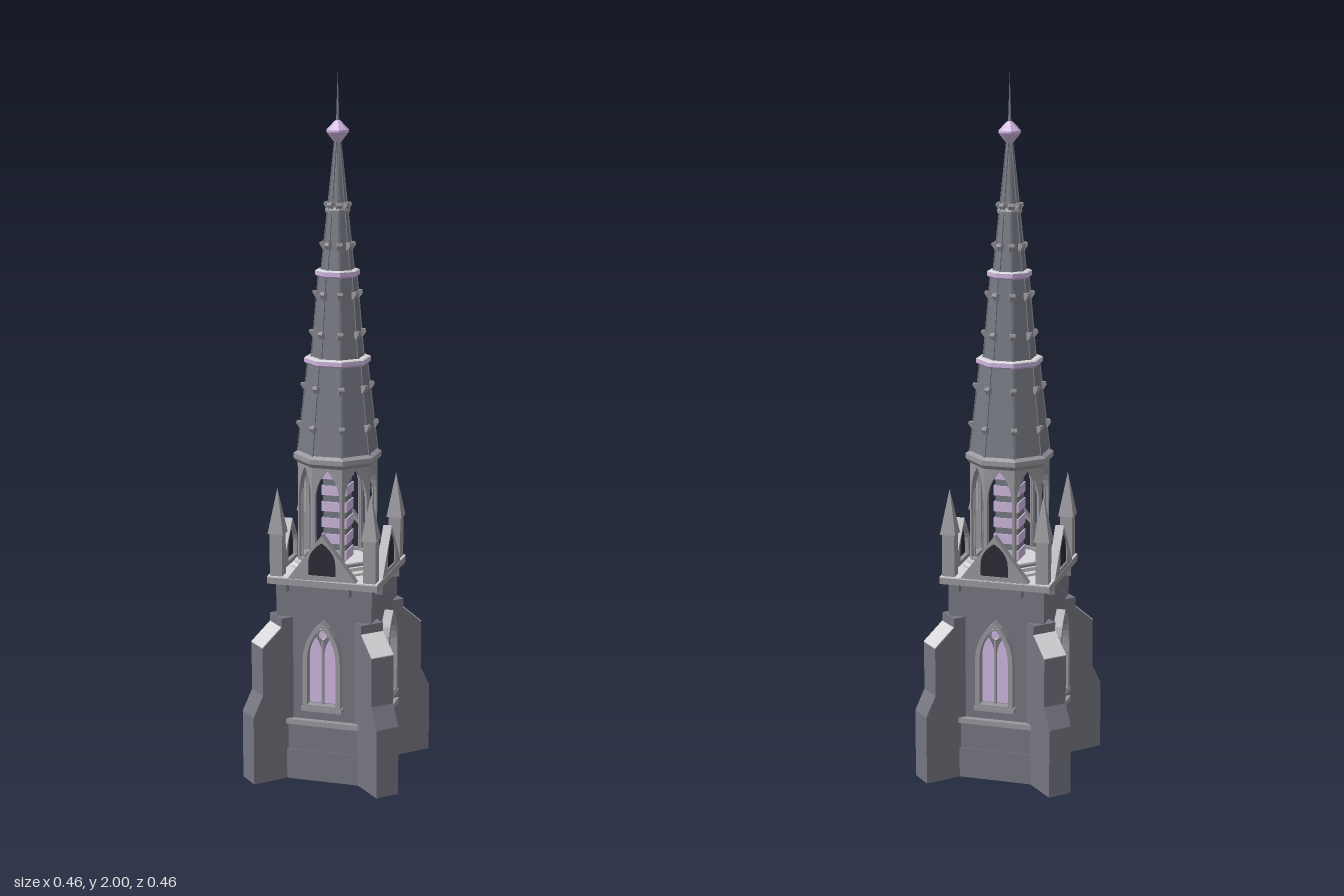
import * as THREE from 'three';

const mat = (name, color) => {
  const m = new THREE.MeshStandardMaterial({ color });
  m.name = name;
  return m;
};

export function createModel() {
  const stone = mat('wall stone', 0x767681);
  const slate = mat('spire stone', 0x777983);
  const trim = mat('grey trim', 0x98989e);
  const pale = mat('pale weathering', 0xd6d6d9);
  const lilac = mat('lilac glass', 0xcfb7e1);
  const dark = mat('dark opening', 0x2c2b36);
  const root = new THREE.Group();

  // Faceted mesh: every face keeps its own normal
  function add(parent, name, geo, material, x = 0, y = 0, z = 0) {
    const g = geo.index ? geo.toNonIndexed() : geo;
    g.computeVertexNormals();
    const m = new THREE.Mesh(g, material);
    m.name = name;
    m.position.set(x, y, z);
    parent.add(m);
    return m;
  }
  const box = (w, h, d) => new THREE.BoxGeometry(w, h, d);
  const extrude = (shape, depth) =>
    new THREE.ExtrudeGeometry(shape, { depth, bevelEnabled: false, curveSegments: 5 });
  // Octagonal solid from [apothem, y] pairs, flats facing the axes
  const octagon = (pts) => new THREE.LatheGeometry(
    pts.map(([a, y]) => new THREE.Vector2(a / Math.cos(Math.PI / 8), y)), 8, Math.PI / 8);
  const polygon = (pts) => new THREE.Shape(pts.map(([x, y]) => new THREE.Vector2(x, y)));
  // Slab from an [radius, y] outline, centred on its own plane
  function slab(pts, width) {
    const g = extrude(polygon(pts), width);
    g.translate(0, 0, -width / 2);
    return g;
  }
  // Pointed arch outline
  function arch(w, y0, spring, apex, cx = 0, Type = THREE.Shape) {
    const s = new Type();
    const c = spring + (apex - spring) * 0.6;
    s.moveTo(cx - w, y0);
    s.lineTo(cx + w, y0);
    s.lineTo(cx + w, spring);
    s.quadraticCurveTo(cx + w, c, cx, apex);
    s.quadraticCurveTo(cx - w, c, cx - w, spring);
    s.closePath();
    return s;
  }

  // Square tower
  add(root, 'towerBody', box(0.28, 0.58, 0.28), stone, 0, 0.29, 0);
  add(root, 'plinth', box(0.31, 0.09, 0.31), stone, 0, 0.045, 0);
  add(root, 'plinthUpper', box(0.304, 0.075, 0.304), stone, 0, 0.1275, 0);
  add(root, 'stringCourse', box(0.314, 0.015, 0.314), trim, 0, 0.1725, 0);
  add(root, 'cornice', box(0.32, 0.018, 0.32), trim, 0, 0.587, 0);
  add(root, 'corniceTop', box(0.32, 0.004, 0.32), pale, 0, 0.598, 0);

  const buttressProfile = [[0.1, 0], [0.29, 0], [0.29, 0.2], [0.26, 0.26],
    [0.26, 0.4], [0.2, 0.452], [0.2, 0.48], [0.1, 0.48]];
  const weatheringProfile = [[0.26, 0.4], [0.261, 0.403], [0.201, 0.455], [0.2, 0.452]];

  for (let k = 0; k < 4; k++) {
    // One side of the tower, built facing +z
    const side = new THREE.Group();
    side.name = 'towerSide';
    side.rotation.y = k * Math.PI / 2;
    root.add(side);

    // Window: frame, twin lancets, mullion, roundel and sill
    const frame = arch(0.055, 0.22, 0.36, 0.48);
    frame.holes.push(arch(0.042, 0.232, 0.36, 0.462, 0, THREE.Path));
    add(side, 'windowFrame', extrude(frame, 0.026), trim, 0, 0, 0.14);
    add(side, 'windowTracery', extrude(arch(0.042, 0.232, 0.36, 0.462), 0.002), stone, 0, 0, 0.14);
    for (const s of [-1, 1]) {
      add(side, 'windowGlass', extrude(arch(0.0185, 0.234, 0.37, 0.427, s * 0.0215), 0.003),
        lilac, 0, 0, 0.141);
    }
    add(side, 'windowMullion', box(0.006, 0.19, 0.012), trim, 0, 0.325, 0.147);
    const roundel = new THREE.CylinderGeometry(0.014, 0.014, 0.004, 12);
    roundel.rotateX(Math.PI / 2);
    add(side, 'windowRoundel', roundel, lilac, 0, 0.438, 0.145);
    add(side, 'windowRoundelRing', new THREE.TorusGeometry(0.015, 0.003, 4, 12), trim, 0, 0.438, 0.147);
    add(side, 'windowSill', box(0.118, 0.012, 0.03), trim, 0, 0.219, 0.153);

    // Gable above the cornice with a dark pointed opening
    const gable = polygon([[-0.1, 0.598], [0.1, 0.598], [0, 0.73]]);
    gable.holes.push(arch(0.04, 0.612, 0.645, 0.708, 0, THREE.Path));
    add(side, 'gable', extrude(gable, 0.025), trim, 0, 0, 0.135);
    add(side, 'gableOpening', extrude(arch(0.04, 0.612, 0.645, 0.708), 0.009), dark, 0, 0, 0.147);

    // Small brackets under the cornice
    for (const x of [-0.105, 0.078]) {
      add(side, 'bracket', box(0.005, 0.022, 0.022), stone, x, 0.568, 0.151);
    }

    // Diagonal stepped buttress with a pale sloping top
    const turn = Math.PI / 4 + k * Math.PI / 2;
    add(root, 'buttress', slab(buttressProfile, 0.07), stone).rotation.y = turn;
    add(root, 'buttressSlope', slab(weatheringProfile, 0.07), pale).rotation.y = turn;

    // Corner pinnacle
    const pinnacle = new THREE.Group();
    pinnacle.name = 'pinnacle';
    pinnacle.position.set(0.136, 0.6, 0.136);
    side.add(pinnacle);
    add(pinnacle, 'pinnacleShaft', box(0.036, 0.13, 0.036), trim, 0, 0.065, 0);
    const tip = new THREE.ConeGeometry(0.032, 0.13, 4);
    tip.rotateY(Math.PI / 4);
    add(pinnacle, 'pinnacleSpire', tip, trim, 0, 0.187, 0);
  }

  // Octagonal open belfry
  add(root, 'belfryBase', octagon([[0, 0.59], [0.123, 0.59], [0.123, 0.607], [0.114, 0.612],
    [0.114, 0.622], [0, 0.622]]), pale);
  const panel = polygon([[-0.0435, 0.615], [0.0435, 0.615], [0.0435, 0.915], [-0.0435, 0.915]]);
  panel.holes.push(arch(0.036, 0.63, 0.81, 0.902, 0, THREE.Path));
  for (let k = 0; k < 8; k++) {
    const arcade = new THREE.Group();
    arcade.name = 'belfryArch';
    arcade.rotation.y = k * Math.PI / 4;
    root.add(arcade);
    add(arcade, 'archPanel', extrude(panel, 0.014), trim, 0, 0, 0.091);
  }

  // Banded core inside the belfry
  add(root, 'belfryCore', box(0.066, 0.31, 0.066), slate, 0, 0.765, 0);
  for (let i = 0; i < 6; i++) {
    add(root, 'coreBand', box(0.074, 0.028, 0.074), lilac, 0, 0.64 + i * 0.047, 0);
  }

  // Spire in three tapering tiers
  add(root, 'spireEave', octagon([[0, 0.908], [0.106, 0.908], [0.116, 0.92], [0.116, 0.934],
    [0.105, 0.942], [0, 0.942]]), trim);
  const tiers = [[0.94, 0.105, 1.2, 0.077], [1.2, 0.069, 1.445, 0.049], [1.445, 0.043, 1.82, 0.006]];
  for (const [y0, a0, y1, a1] of tiers) {
    add(root, 'spireTier', octagon([[0, y0], [a0, y0], [a1, y1], [0, y1]]), slate);
  }
  // Lilac bands, each capped by a pale ledge
  for (const [y, a] of [[1.2, 0.087], [1.445, 0.058]]) {
    add(root, 'spireBand', octagon([[0, y - 0.01], [a - 0.005, y - 0.01], [a, y - 0.005],
      [a, y + 0.007], [0, y + 0.007]]), lilac);
    add(root, 'spireBandLedge', octagon([[0, y + 0.006], [a, y + 0.007], [a - 0.004, y + 0.01],
      [0, y + 0.01]]), pale);
  }
  add(root, 'spireCollar', octagon([[0, 1.612], [0.031, 1.612], [0.033, 1.62], [0.03, 1.628],
    [0, 1.628]]), trim);

  // Ribs and crockets along the eight spire edges
  for (let k = 0; k < 8; k++) {
    const edge = new THREE.Group();
    edge.name = 'spireEdge';
    edge.rotation.y = Math.PI / 8 + k * Math.PI / 4;
    root.add(edge);
    for (const [y0, a0, y1, a1] of tiers) {
      const r0 = a0 / Math.cos(Math.PI / 8), r1 = a1 / Math.cos(Math.PI / 8);
      add(edge, 'rib', slab([[r0 - 0.01, y0], [r0 + 0.002, y0], [r1 + 0.002, y1],
        [Math.max(r1 - 0.01, 0), y1]], 0.006), slate);
      for (let y = y0 + 0.075; y < Math.min(y1, 1.66) - 0.02; y += 0.11) {
        const r = r0 + (r1 - r0) * (y - y0) / (y1 - y0);
        add(edge, 'crocket', slab([[r - 0.008, y - 0.012], [r + 0.004, y - 0.008],
          [r + 0.012, y + 0.004], [r + 0.01, y + 0.011], [r - 0.01, y + 0.011]], 0.015), trim);
      }
    }
  }

  // Finial
  add(root, 'finialKnob', octagon([[0, 1.798], [0.008, 1.803], [0.029, 1.832], [0.029, 1.838],
    [0.008, 1.862], [0, 1.866]]), lilac);
  add(root, 'finialSpike', new THREE.ConeGeometry(0.005, 0.15, 6), slate, 0, 1.925, 0);

  return root;
}
